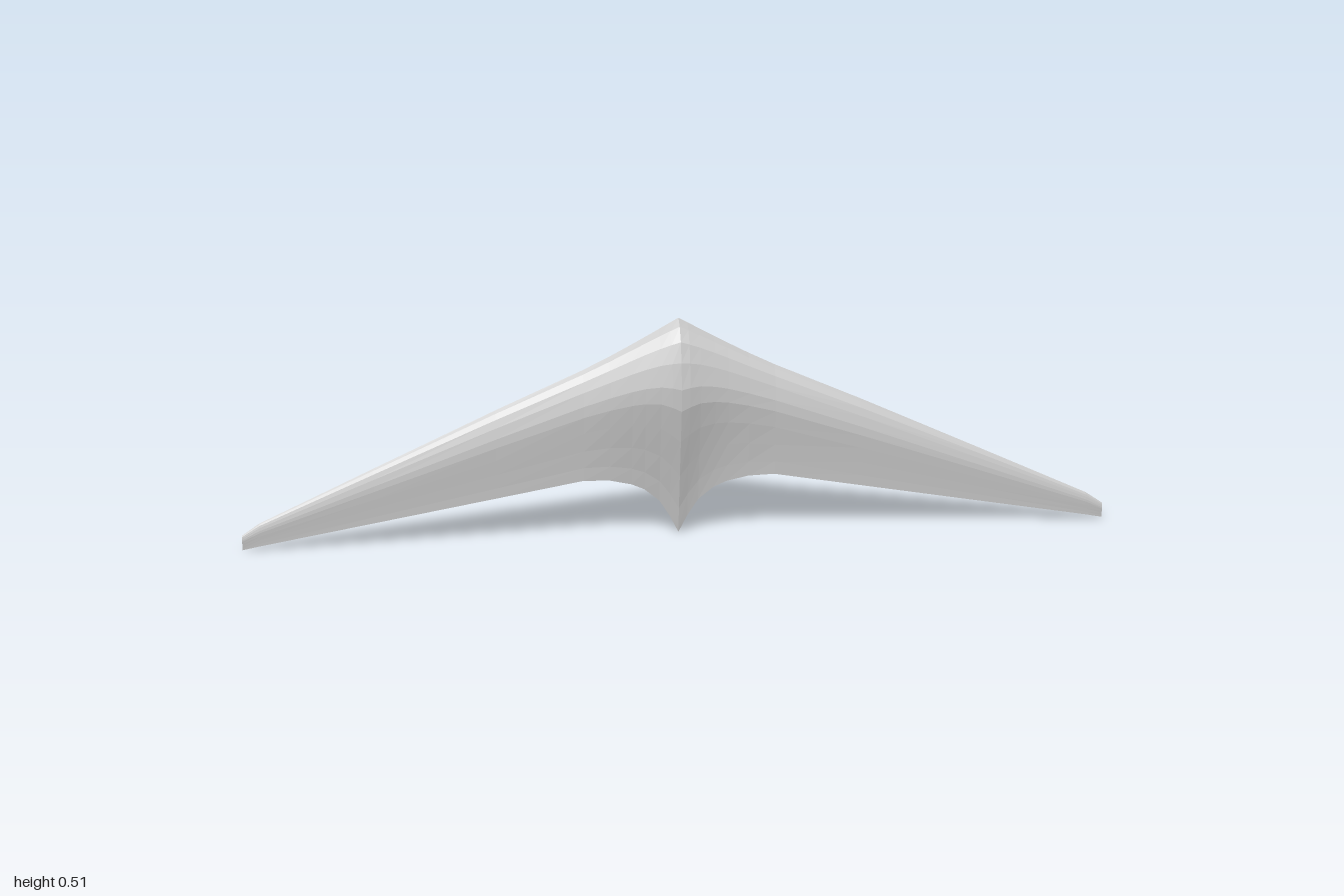
import * as THREE from 'three';

// Spanwise stations: x, leading y, trailing y, leading z, trailing z, front depth, back depth
const HALF = [
  [0, 0.512, 0, -0.015, -0.017, 0.065, 0.035],
  [0.02, 0.501, 0.04, -0.015, -0.014, 0.062, 0.034],
  [0.045, 0.487, 0.08, -0.015, -0.01, 0.056, 0.031],
  [0.08, 0.468, 0.11, -0.014, -0.005, 0.048, 0.026],
  [0.11, 0.452, 0.124, -0.013, -0.002, 0.042, 0.022],
  [0.16, 0.426, 0.136, -0.012, 0.002, 0.035, 0.019],
  [0.22, 0.397, 0.139, -0.011, 0.005, 0.029, 0.017],
  [0.42, 0.31, 0.104, -0.008, 0.004, 0.021, 0.012],
  [0.7, 0.183, 0.055, -0.004, 0.002, 0.012, 0.008],
  [0.96, 0.064, 0.01, -0.001, 0.001, 0.005, 0.003],
  [1, 0.037, 0.002, 0, 0, 0.003, 0.002],
];

// Closed section: chord fraction, depth fraction (front side down, back side up)
const PROFILE = [
  [0, 0], [0.03, 0.35], [0.09, 0.69], [0.18, 0.88], [0.3, 1], [0.4, 0.96],
  [0.55, 0.72], [0.72, 0.42], [0.88, 0.16], [1, 0],
  [0.86, -0.45], [0.7, -0.84], [0.55, -0.95], [0.3, -1], [0.12, -0.8], [0.02, -0.57],
];

// One airfoil ring at a station
function section([x, yL, yT, zL, zT, front, back]) {
  return PROFILE.map(([t, d]) => [
    x,
    THREE.MathUtils.lerp(yL, yT, t),
    THREE.MathUtils.lerp(zL, zT, t) + d * (d > 0 ? front : back),
  ]);
}

// Skin between stations ordered by increasing x, with optional end caps
function loft(stations, capStart, capEnd) {
  const n = PROFILE.length;
  const index = [];
  for (let i = 0; i < stations.length - 1; i++) {
    for (let j = 0; j < n; j++) {
      const a = i * n + j, b = i * n + (j + 1) % n;
      index.push(a, b, a + n, b, b + n, a + n);
    }
  }
  const last = (stations.length - 1) * n;
  for (let j = 1; j < n - 1; j++) {
    if (capStart) index.push(0, j + 1, j);
    if (capEnd) index.push(last, last + j, last + j + 1);
  }
  const geometry = new THREE.BufferGeometry();
  geometry.setAttribute('position', new THREE.Float32BufferAttribute(stations.flatMap(section).flat(), 3));
  geometry.setIndex(index);
  geometry.computeVertexNormals();
  return geometry;
}

const mirrored = (list) => list.map(([x, ...rest]) => [-x, ...rest]).reverse();

export function createModel() {
  const group = new THREE.Group();
  group.name = 'flyingWing';
  const material = new THREE.MeshStandardMaterial({ color: 0xcccccc, flatShading: true });
  const add = (name, geometry) => {
    const mesh = new THREE.Mesh(geometry, material);
    mesh.name = name;
    group.add(mesh);
  };

  // Blended centre body with pointed nose and tail
  const body = HALF.slice(0, 7);
  add('centreBody', loft([...mirrored(body.slice(1)), ...body], false, false));

  // Swept, tapering wings and their clipped tips
  const wing = HALF.slice(6, 10), tip = HALF.slice(9);
  add('leftWing', loft(wing, false, false));
  add('rightWing', loft(mirrored(wing), false, false));
  add('leftWingTip', loft(tip, false, true));
  add('rightWingTip', loft(mirrored(tip), true, false));
  return group;
}
